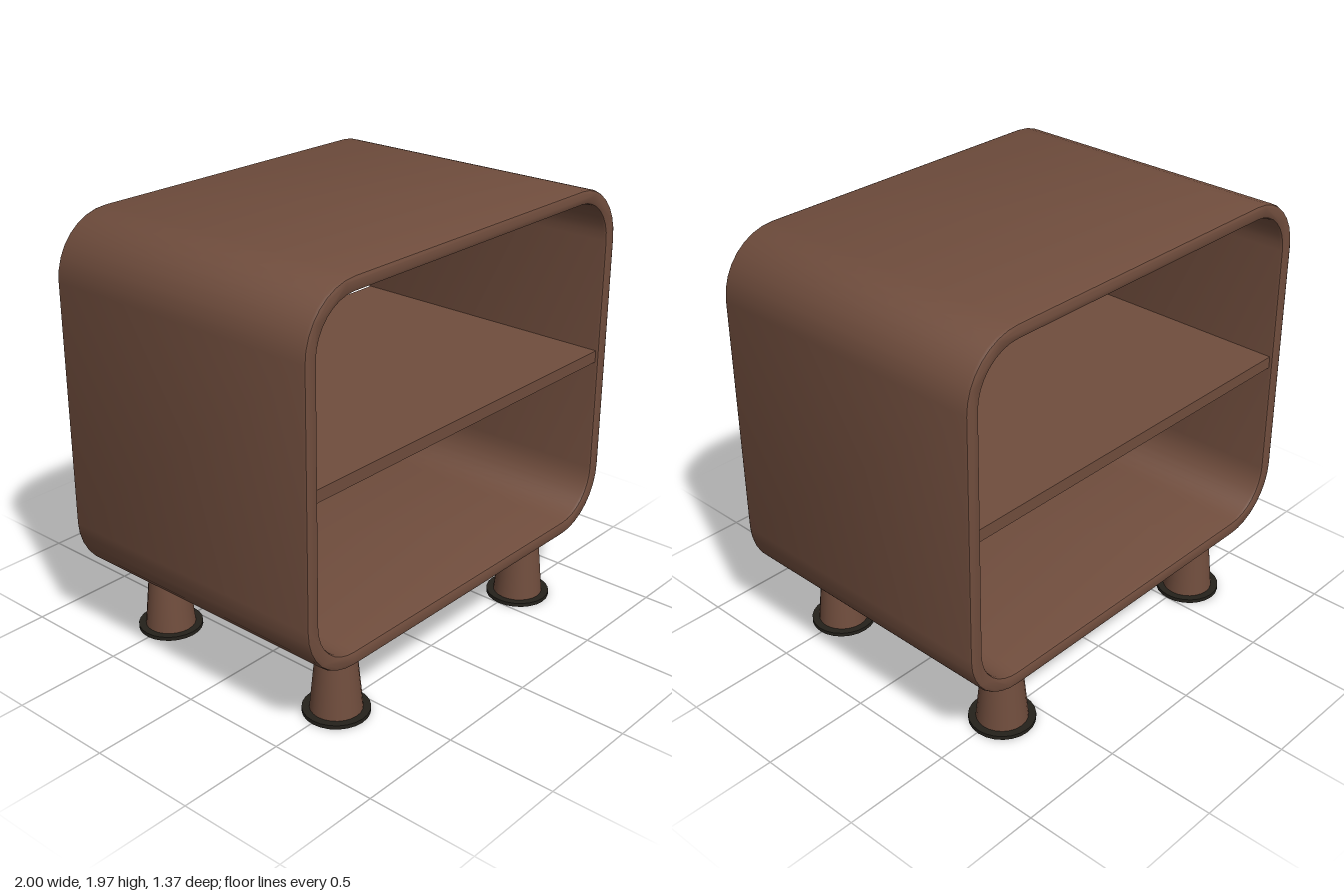
import * as THREE from 'three';
import { toCreasedNormals } from 'three/addons/utils/BufferGeometryUtils.js';

const DEPTH = 1.37;
const BEVEL = 0.015;

// Traces a rounded rectangle centred on (0, cy)
function roundedRect(path, halfW, halfH, cy, r) {
  const x = halfW - r, y = halfH - r;
  path.moveTo(halfW, cy - y);
  path.absarc(x, cy + y, r, 0, Math.PI / 2);
  path.absarc(-x, cy + y, r, Math.PI / 2, Math.PI);
  path.absarc(-x, cy - y, r, Math.PI, Math.PI * 1.5);
  path.absarc(x, cy - y, r, Math.PI * 1.5, Math.PI * 2);
  return path;
}

export function createModel() {
  const model = new THREE.Group();
  model.name = 'nightstand';
  const wood = new THREE.MeshStandardMaterial({ color: 0x704d3d });
  wood.name = 'brown wood';
  wood.side = THREE.DoubleSide;
  const dark = new THREE.MeshStandardMaterial({ color: 0x24211b });
  dark.name = 'dark foot ring';

  const add = (parent, name, geometry, material, x = 0, y = 0, z = 0) => {
    const mesh = new THREE.Mesh(geometry, material);
    mesh.name = name;
    mesh.position.set(x, y, z);
    parent.add(mesh);
  };

  // Cabinet: rounded tube, open at front and back, with softened rims
  const outline = roundedRect(new THREE.Shape(), 1, 0.82, 1.153, 0.27);
  outline.holes.push(roundedRect(new THREE.Path(), 0.935, 0.755, 1.153, 0.205));
  const shell = new THREE.ExtrudeGeometry(outline, {
    depth: DEPTH - 2 * BEVEL,
    curveSegments: 4,
    bevelSize: BEVEL,
    bevelThickness: BEVEL,
    bevelOffset: -BEVEL,
    bevelSegments: 2,
  });
  shell.translate(0, 0, -DEPTH / 2 + BEVEL);
  add(model, 'cabinetShell', toCreasedNormals(shell, 0.7), wood);

  // Shelf
  add(model, 'shelf', new THREE.BoxGeometry(1.88, 0.055, DEPTH - 2 * BEVEL), wood, 0, 1.158, 0);

  // Four hollow tapered legs, each with a flat ring at the foot
  const legGeometry = new THREE.CylinderGeometry(0.082, 0.115, 0.335, 24, 1, true);
  const ringProfile = [[0.114, 0], [0.146, 0], [0.146, 0.018], [0.112, 0.018], [0.114, 0]]
    .map(([r, y]) => new THREE.Vector2(r, y));
  const ringGeometry = toCreasedNormals(new THREE.LatheGeometry(ringProfile, 24), 0.6);
  for (const x of [-0.645, 0.645]) {
    for (const z of [-0.508, 0.508]) {
      const leg = new THREE.Group();
      leg.name = (z > 0 ? 'front' : 'back') + (x > 0 ? 'Left' : 'Right') + 'Leg';
      leg.position.set(x, 0, z);
      add(leg, 'legCone', legGeometry, wood, 0, 0.1725, 0);
      add(leg, 'footRing', ringGeometry, dark);
      model.add(leg);
    }
  }
  return model;
}
